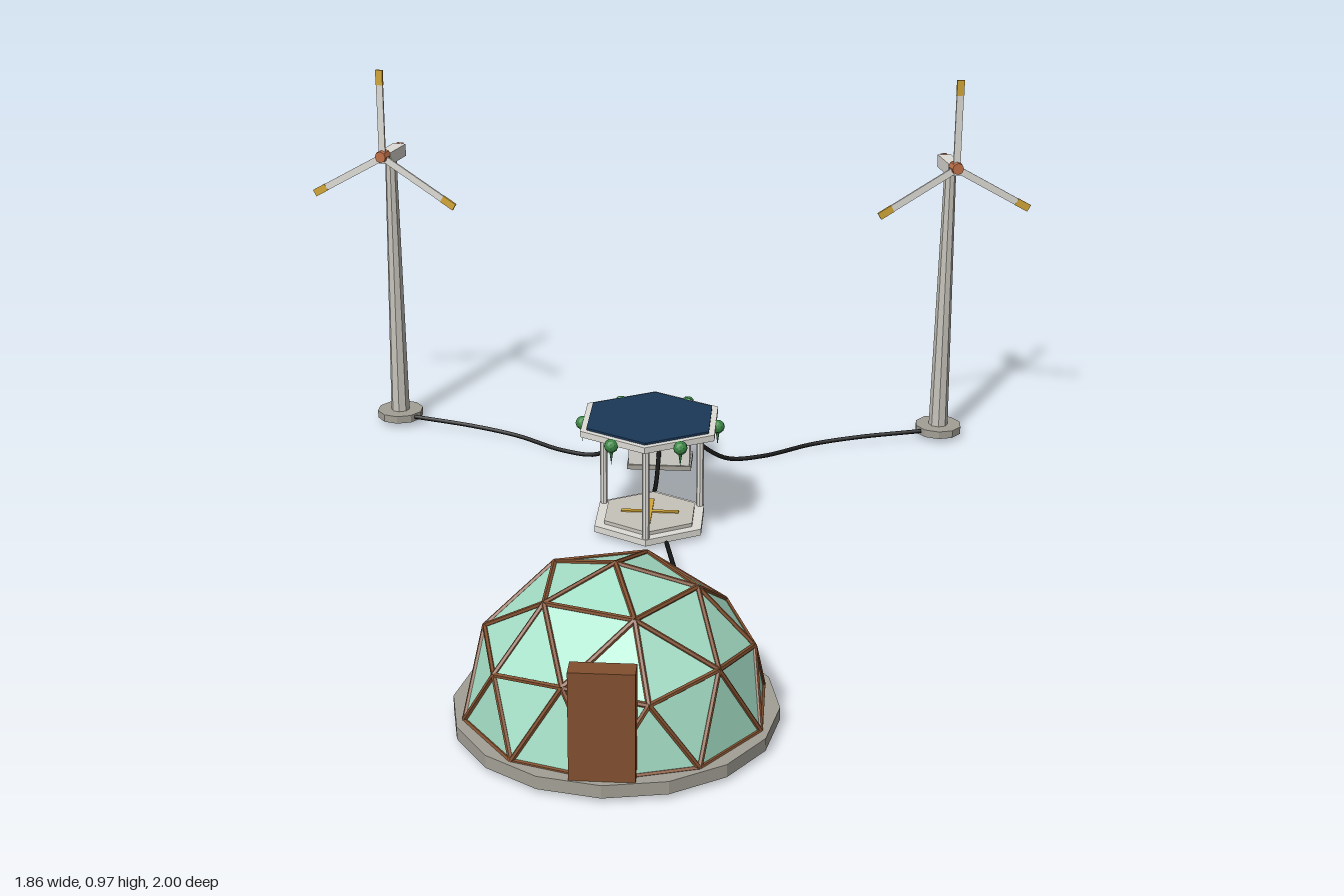
import * as THREE from 'three';

const mat = (name, color, extra = {}) => {
  const m = new THREE.MeshStandardMaterial({ color, flatShading: true, ...extra });
  m.name = name;
  return m;
};

export function createModel() {
  const root = new THREE.Group();
  root.name = 'offGridStation';
  const concrete = mat('concrete', 0xa3a096);
  const steel = mat('paleSteel', 0xc6c3ba);
  const white = mat('offWhite', 0xdedcd6);
  const glass = mat('mintGlass', 0xa6e0c8, { side: THREE.DoubleSide });
  const timber = mat('timber', 0x82502f);
  const navy = mat('solarNavy', 0x1b3858);
  const gold = mat('gold', 0xd2a638);
  const copper = mat('copper', 0xbf7049);
  const green = mat('leafGreen', 0x3a8744);
  const black = mat('cableBlack', 0x161616, { flatShading: false });

  const add = (parent, name, geo, material, x = 0, y = 0, z = 0) => {
    const m = new THREE.Mesh(geo, material);
    m.name = name;
    m.position.set(x, y, z);
    parent.add(m);
    return m;
  };
  const group = (name, x = 0, y = 0, z = 0) => {
    const g = new THREE.Group();
    g.name = name;
    g.position.set(x, y, z);
    root.add(g);
    return g;
  };
  const box = (w, h, d) => new THREE.BoxGeometry(w, h, d);
  const cyl = (rt, rb, h, n) => new THREE.CylinderGeometry(rt, rb, h, n);
  const V = (x, y, z) => new THREE.Vector3(x, y, z);

  // Geodesic dome: apex, ring of 5, ring of 10, base ring of 10
  const dome = group('dome', 0, 0, 0.664);
  add(dome, 'domeSlab', cyl(0.335, 0.335, 0.028, 16), concrete, 0, 0.025, 0);
  const R = 0.313;
  const point = (polar, az) => {
    const t = THREE.MathUtils.degToRad(polar), a = THREE.MathUtils.degToRad(az);
    return V(R * Math.sin(t) * Math.cos(a), 0.038 + R * Math.cos(t), -R * Math.sin(t) * Math.sin(a));
  };
  const pts = [point(0, 0)];
  for (let k = 0; k < 5; k++) pts.push(point(31.72, 72 * k));
  for (let i = 0; i < 10; i++) pts.push(point(i % 2 ? 58.28 : 63.43, 36 * i));
  for (let i = 0; i < 10; i++) pts.push(point(90, 36 * i + 18));
  const r1 = k => 1 + (k + 5) % 5, r2 = i => 6 + (i + 10) % 10, r3 = i => 16 + (i + 10) % 10;
  const tris = [];
  for (let k = 0; k < 5; k++) {
    tris.push([0, r1(k), r1(k + 1)], [r1(k), r2(2 * k), r2(2 * k + 1)],
      [r1(k), r2(2 * k - 1), r2(2 * k)], [r1(k), r2(2 * k + 1), r1(k + 1)]);
  }
  for (let i = 0; i < 10; i++) tris.push([r2(i), r3(i - 1), r3(i)], [r2(i), r3(i), r2(i + 1)]);
  const shell = new THREE.BufferGeometry().setFromPoints(tris.flat().map(i => pts[i]));
  shell.computeVertexNormals();
  add(dome, 'domePanels', shell, glass);

  // Struts along every unique edge
  const edges = new Set();
  for (const t of tris) {
    for (let j = 0; j < 3; j++) {
      const a = t[j], b = t[(j + 1) % 3];
      edges.add(Math.min(a, b) + ',' + Math.max(a, b));
    }
  }
  for (const e of edges) {
    const [a, b] = e.split(',').map(i => pts[+i]);
    const dir = b.clone().sub(a);
    const s = add(dome, 'domeStrut', cyl(0.0058, 0.0058, dir.length(), 6), timber);
    s.position.copy(a).add(b).multiplyScalar(0.5);
    s.quaternion.setFromUnitVectors(V(0, 1, 0), dir.normalize());
  }
  add(dome, 'door', box(0.13, 0.232, 0.046), timber, 0, 0.155, 0.297);

  // Wind turbines, mirrored and turned outward
  for (const side of [-1, 1]) {
    const t = group(side > 0 ? 'leftTurbine' : 'rightTurbine', side * 0.722, 0, -0.941);
    add(t, 'turbineBase', cyl(0.061, 0.061, 0.02, 10), concrete, 0, 0.022, 0);
    add(t, 'tower', cyl(0.015, 0.025, 0.7, 8), steel, 0, 0.38, 0);
    const head = new THREE.Group();
    head.name = 'turbineHead';
    head.position.y = 0.74;
    head.rotation.y = side * Math.PI / 12;
    t.add(head);
    add(head, 'nacelle', box(0.034, 0.032, 0.092), white, 0, 0, -0.01);
    add(head, 'tailCap', box(0.016, 0.016, 0.008), copper, 0, 0.009, -0.058);
    const rotor = new THREE.Group();
    rotor.name = 'rotor';
    rotor.position.set(0, 0.006, 0.05);
    head.add(rotor);
    add(rotor, 'hub', cyl(0.015, 0.017, 0.028, 8), copper, 0, 0.003, 0).rotation.x = Math.PI / 2;
    for (let k = 0; k < 3; k++) {
      const blade = new THREE.Group();
      blade.name = 'blade';
      blade.rotation.z = k * Math.PI * 2 / 3;
      rotor.add(blade);
      add(blade, 'bladeBody', box(0.018, 0.18, 0.005), white, 0, 0.1, 0);
      add(blade, 'bladeTip', box(0.019, 0.039, 0.006), gold, 0, 0.2095, 0);
    }
  }

  // Foliage: a leafy ball, with an optional hanging vine
  const ball = new THREE.IcosahedronGeometry(0.017, 1);
  const vine = new THREE.ConeGeometry(0.006, 0.04, 5).rotateX(Math.PI);
  const plant = (parent, x, y, z, hanging) => {
    add(parent, 'leaves', ball, green, x, y, z);
    if (hanging) add(parent, 'vine', vine, green, x, y - 0.027, z);
  };

  // Hexagonal solar pavilion on three posts
  const pav = group('pavilion', 0, 0, -0.298);
  add(pav, 'floorStep', cyl(0.148, 0.148, 0.016, 6), white, 0, 0.02, 0);
  add(pav, 'floor', cyl(0.122, 0.122, 0.01, 6), steel, 0, 0.032, 0);
  add(pav, 'floorCrossX', box(0.14, 0.003, 0.012), gold, 0, 0.0385, 0);
  add(pav, 'floorCrossZ', box(0.012, 0.004, 0.14), gold, 0, 0.0385, 0);
  add(pav, 'roofFrame', cyl(0.183, 0.183, 0.014, 6), white, 0, 0.272, 0);
  add(pav, 'roofUnderside', cyl(0.181, 0.181, 0.003, 6), steel, 0, 0.2645, 0);
  add(pav, 'solarPanel', cyl(0.167, 0.167, 0.006, 6), navy, 0, 0.281, 0);
  for (let k = 0; k < 3; k++) {
    const a = k * Math.PI * 2 / 3;
    add(pav, 'post', cyl(0.009, 0.009, 0.24, 8), white, 0.136 * Math.sin(a), 0.146, 0.136 * Math.cos(a));
  }
  for (let k = 0; k < 6; k++) {
    const a = k * Math.PI / 3;
    plant(pav, 0.162 * Math.cos(a), 0.264, 0.162 * Math.sin(a), true);
  }

  // Battery cabinet with a pair of copper lid plates
  const bat = group('batteryCabinet', 0, 0, -0.665);
  add(bat, 'cabinetFoot', box(0.164, 0.012, 0.1), concrete, 0, 0.018, 0);
  add(bat, 'cabinetBody', box(0.155, 0.115, 0.09), white, 0, 0.08, 0);
  add(bat, 'cabinetRim', box(0.176, 0.012, 0.112), white, 0, 0.143, -0.004);
  for (const s of [-1, 1]) {
    add(bat, 'lidPlate', box(0.0865, 0.005, 0.11), copper, s * 0.044, 0.1515, -0.004);
    add(bat, 'indicator', box(0.014, 0.028, 0.005), gold, s * 0.04, 0.095, 0.046);
  }
  plant(bat, -0.066, 0.16, -0.03, false);
  plant(bat, 0.068, 0.164, -0.041, false);
  add(bat, 'trailingVine', vine, green, 0.082, 0.135, -0.055);

  // Ground cables
  const cable = (name, path) => add(root, name,
    new THREE.TubeGeometry(new THREE.CatmullRomCurve3(path), 40, 0.0055, 6), black);
  cable('domeCable', [V(0.13, 0.03, 0.32), V(0.115, 0.022, 0.2), V(0.09, 0.019, 0.05), V(0.05, 0.024, -0.15)]);
  cable('pavilionCable', [V(0, 0.026, -0.43), V(0, 0.018, -0.5), V(0, 0.026, -0.55), V(0, 0.062, -0.625)]);
  for (const s of [-1, 1]) {
    cable('turbineCable', [V(s * 0.075, 0.088, -0.685), V(s * 0.11, 0.05, -0.69), V(s * 0.17, 0.013, -0.705),
      V(s * 0.26, 0.006, -0.742), V(s * 0.39, 0.012, -0.82), V(s * 0.51, 0.02, -0.858), V(s * 0.675, 0.027, -0.896)]);
  }
  return root;
}
